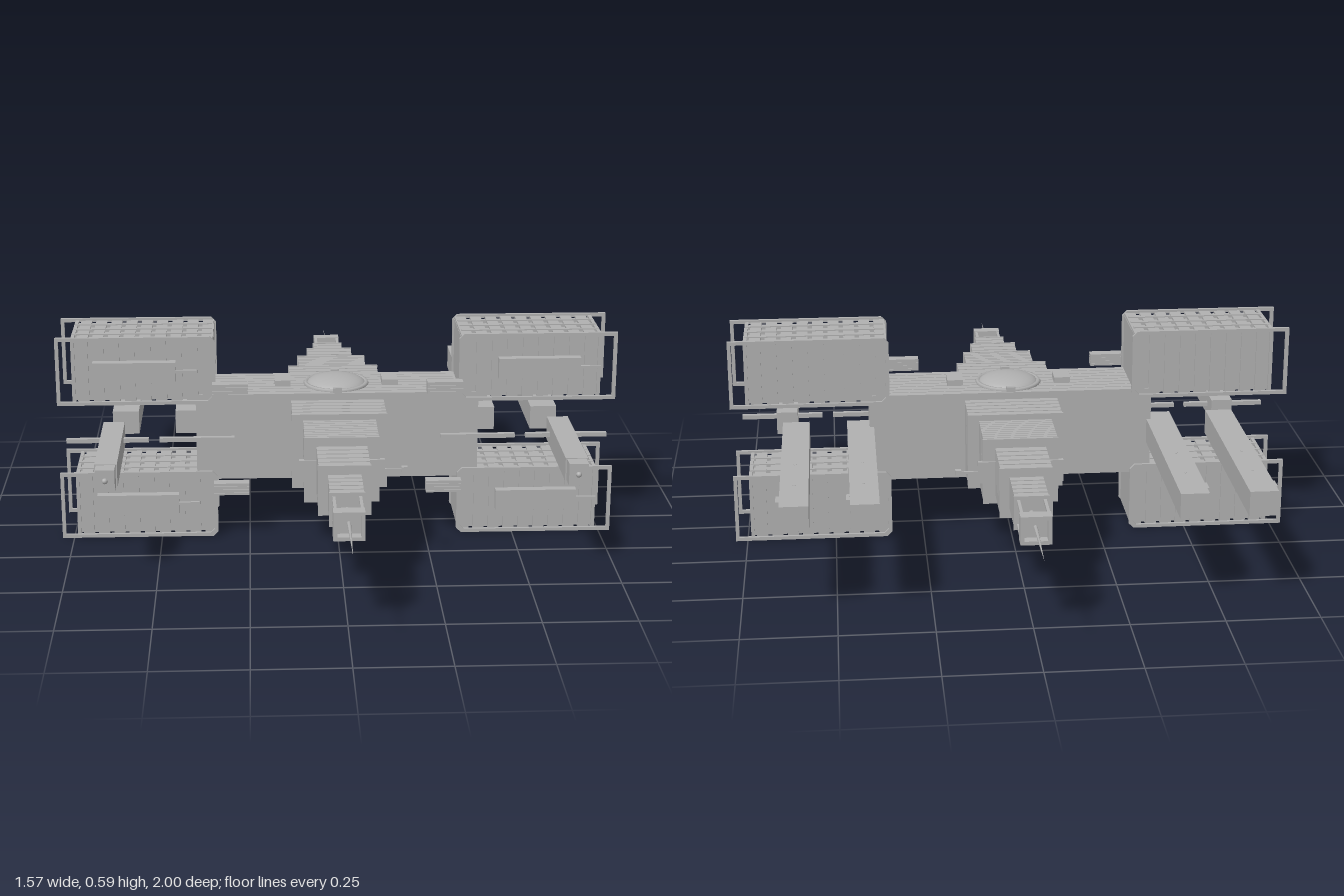
import * as THREE from 'three';

export function createModel() {
  const hull = new THREE.MeshStandardMaterial({ color: 0xb0b0b0 });
  hull.name = 'hullGrey';
  const root = new THREE.Group();
  root.name = 'station';

  const add = (parent, name, geo, x = 0, y = 0, z = 0) => {
    const m = new THREE.Mesh(geo, hull);
    m.name = name;
    m.position.set(x, y, z);
    parent.add(m);
    return m;
  };
  // Box given by its extents on each axis
  const box = (parent, name, x0, x1, y0, y1, z0, z1) =>
    add(parent, name, new THREE.BoxGeometry(Math.abs(x1 - x0), y1 - y0, Math.abs(z1 - z0)),
      (x0 + x1) / 2, (y0 + y1) / 2, (z0 + z1) / 2);
  const group = (name) => {
    const g = new THREE.Group();
    g.name = name;
    root.add(g);
    return g;
  };

  // Central body with lengthwise slats above and below, ribs on both ends
  const body = group('centralBody');
  box(body, 'bodyCore', -0.39, 0.39, 0.182, 0.418, -0.1, 0.1);
  for (let i = 0; i < 8; i++) {
    const z = -0.1 + i * 0.0255;
    box(body, 'topSlat', -0.395, 0.395, 0.418, 0.425, z, z + 0.0215);
    box(body, 'bottomSlat', -0.395, 0.395, 0.175, 0.182, z, z + 0.0215);
    for (const s of [-1, 1]) box(body, 'endRib', s * 0.39, s * 0.397, 0.18, 0.42, z, z + 0.0215);
  }

  // Domes, ring collars and small hatches on the upper and lower faces
  for (const s of [-1, 1]) {
    const half = group(s > 0 ? 'upperDome' : 'lowerDome');
    half.position.y = 0.3;
    const dome = add(half, 'dome', new THREE.SphereGeometry(0.085, 24, 8, 0, Math.PI * 2, 0, Math.PI / 2), 0, s * 0.122, 0);
    dome.scale.y = 0.33;
    if (s < 0) dome.rotation.x = Math.PI;
    const ring = add(half, 'domeCollar', new THREE.TorusGeometry(0.086, 0.007, 6, 28), 0, s * 0.126, 0);
    ring.rotation.x = Math.PI / 2;
    for (const k of [-1, 1]) {
      add(half, 'hatch', new THREE.BoxGeometry(0.045, 0.018, 0.06), k * 0.152, s * 0.133, 0);
      add(half, 'collarClamp', new THREE.BoxGeometry(0.025, 0.016, 0.012), 0, s * 0.131, k * 0.092);
    }
  }

  // Telescoping arms, front and back: start, end, half width, half height
  const stages = [
    [0.1, 0.235, 0.13, 0.105], [0.235, 0.39, 0.1, 0.09],
    [0.39, 0.55, 0.068, 0.067], [0.55, 0.69, 0.044, 0.044],
  ];
  for (const s of [-1, 1]) {
    const arm = group(s > 0 ? 'frontArm' : 'backArm');
    stages.forEach(([z0, z1, w, h], n) => {
      const d = 0.004, count = n === 1 ? 10 : 5, step = (z1 - z0) / count;
      box(arm, 'armCore', -w + d, w - d, 0.3 - h + d, 0.3 + h - d, s * z0, s * (z1 - 0.001));
      for (let i = 0; i < count; i++) {
        const z = z0 + i * step;
        box(arm, 'armBand', -w, w, 0.3 - h, 0.3 + h, s * z, s * (z + step * 0.8));
      }
      box(arm, 'armLip', -w - 0.002, w + 0.002, 0.298 - h, 0.302 + h, s * (z1 - 0.006), s * z1);
    });
    // Side bracket and sensor rod
    box(arm, 'sideBracket', -0.115, 0.115, 0.27, 0.33, s * 0.383, s * 0.396);
    box(arm, 'sensorRod', 0.1, 0.168, 0.297, 0.303, s * 0.387, s * 0.393);
    box(arm, 'sensorHead', 0.16, 0.176, 0.292, 0.308, s * 0.383, s * 0.397);
    // Open end cage, cap and needle
    for (const a of [-1, 1]) for (const b of [-1, 1]) {
      add(arm, 'cageBar', new THREE.BoxGeometry(0.008, 0.008, 0.09), a * 0.034, 0.3 + b * 0.033, s * 0.733);
    }
    for (const a of [-1, 1]) {
      box(arm, 'capSide', a * 0.03, a * 0.04, 0.262, 0.338, s * 0.775, s * 0.81);
      const y = 0.3 + a * 0.033;
      box(arm, 'capEdge', -0.04, 0.04, y - 0.005, y + 0.005, s * 0.775, s * 0.81);
    }
    box(arm, 'capPlate', -0.038, 0.038, 0.264, 0.336, s * 0.776, s * 0.784);
    const needle = add(arm, 'needle', new THREE.ConeGeometry(0.008, 0.31, 8), 0, 0.3, s * 0.845);
    needle.rotation.x = s * Math.PI / 2;
  }

  // Four ribbed cargo containers with open-ended frames
  for (const s of [-1, 1]) for (const y0 of [0.005, 0.4]) {
    const c = group('cargoContainer');
    const y1 = y0 + 0.195, yc = y0 + 0.0975;
    box(c, 'containerCore', s * 0.345, s * 0.735, y0 + 0.012, y1 - 0.012, -0.094, 0.094);
    const ribs = 9, pitch = 0.39 / ribs;
    for (let i = 0; i < ribs; i++) {
      const x = 0.346 + i * pitch;
      box(c, 'containerRib', s * x, s * (x + pitch * 0.72), y0 + 0.006, y1 - 0.006, -0.1, 0.1);
    }
    box(c, 'containerEnd', s * 0.73, s * 0.74, y0 + 0.005, y1 - 0.005, -0.1, 0.1);
    // Rails that bind the ribs along the upper and lower faces
    for (const z of [-0.05, 0, 0.05]) {
      box(c, 'bindingRail', s * 0.35, s * 0.738, y0 + 0.003, y1 - 0.003, z - 0.004, z + 0.004);
    }
    // Rounded planar frame on each side
    const outline = (shape, x0, x1, b, t, k) => {
      shape.moveTo(x0 + k, b); shape.lineTo(x1, b); shape.lineTo(x1, t);
      shape.lineTo(x0 + k, t); shape.lineTo(x0, t - k); shape.lineTo(x0, b + k);
      shape.closePath();
      return shape;
    };
    const frame = outline(new THREE.Shape(), 0.34, 0.783, -0.0975, 0.0975, 0.014);
    frame.holes.push(outline(new THREE.Path(), 0.35, 0.773, -0.0875, 0.0875, 0.012));
    const frameGeo = new THREE.ExtrudeGeometry(frame, { depth: 0.01, bevelEnabled: false });
    for (const z of [-0.108, 0.098]) {
      const f = add(c, 'containerFrame', frameGeo, 0, yc, s > 0 ? z : z + 0.01);
      if (s < 0) f.rotation.y = Math.PI;
    }
    if (s < 0) c.children.filter((m) => m.name === 'containerFrame').forEach((m) => { m.position.x = 0; });
    // Front equipment panel with a short probe
    const px = s > 0 ? 0.45 : -0.68, py = y0 < 0.2 ? 0.108 : 0.498;
    box(c, 'equipmentPanel', px, px + 0.23, py - 0.029, py + 0.029, 0.1, 0.125);
    box(c, 'panelProbe', px + 0.23, px + 0.288, py - 0.004, py + 0.004, 0.11, 0.118);
    // Slatted bracket beside the container
    const by = y0 < 0.2 ? 0.138 : 0.43;
    box(c, 'bracketCore', s * 0.25, s * 0.35, by + 0.002, by + 0.034, 0.105, 0.132);
    for (let i = 0; i < 4; i++) {
      box(c, 'bracketSlat', s * 0.25, s * 0.35, by + i * 0.0095, by + i * 0.0095 + 0.006, 0.104, 0.135);
    }
  }

  // Long booms: one forward and two backward on each side
  for (const s of [-1, 1]) {
    const g = group(s > 0 ? 'leftBooms' : 'rightBooms');
    box(g, 'frontBoom', s * 0.6, s * 0.66, 0.268, 0.332, 0.05, 0.41);
    box(g, 'frontBoomTip', s * 0.604, s * 0.656, 0.27, 0.33, 0.41, 0.452);
    add(g, 'frontBoomLens', new THREE.SphereGeometry(0.008, 10, 8), s * 0.63, 0.3, 0.452);
    for (const x of [0.385, 0.565]) {
      box(g, 'backBoom', s * x, s * (x + 0.075), 0.266, 0.334, -0.68, -0.04);
      box(g, 'boomSideBox', s * (x + 0.07), s * (x + 0.085), 0.276, 0.324, -0.62, -0.58);
      for (const z of [-0.38, -0.53]) {
        add(g, 'boomStud', new THREE.CylinderGeometry(0.004, 0.004, 0.07, 8), s * (x + 0.037), 0.3, z);
      }
    }
    // Slim cross rods
    for (const [a, b] of [[0.29, 0.5], [0.53, 0.76]]) {
      box(g, 'crossRod', s * a, s * b, 0.294, 0.306, 0.108, 0.122);
    }
  }
  return root;
}
